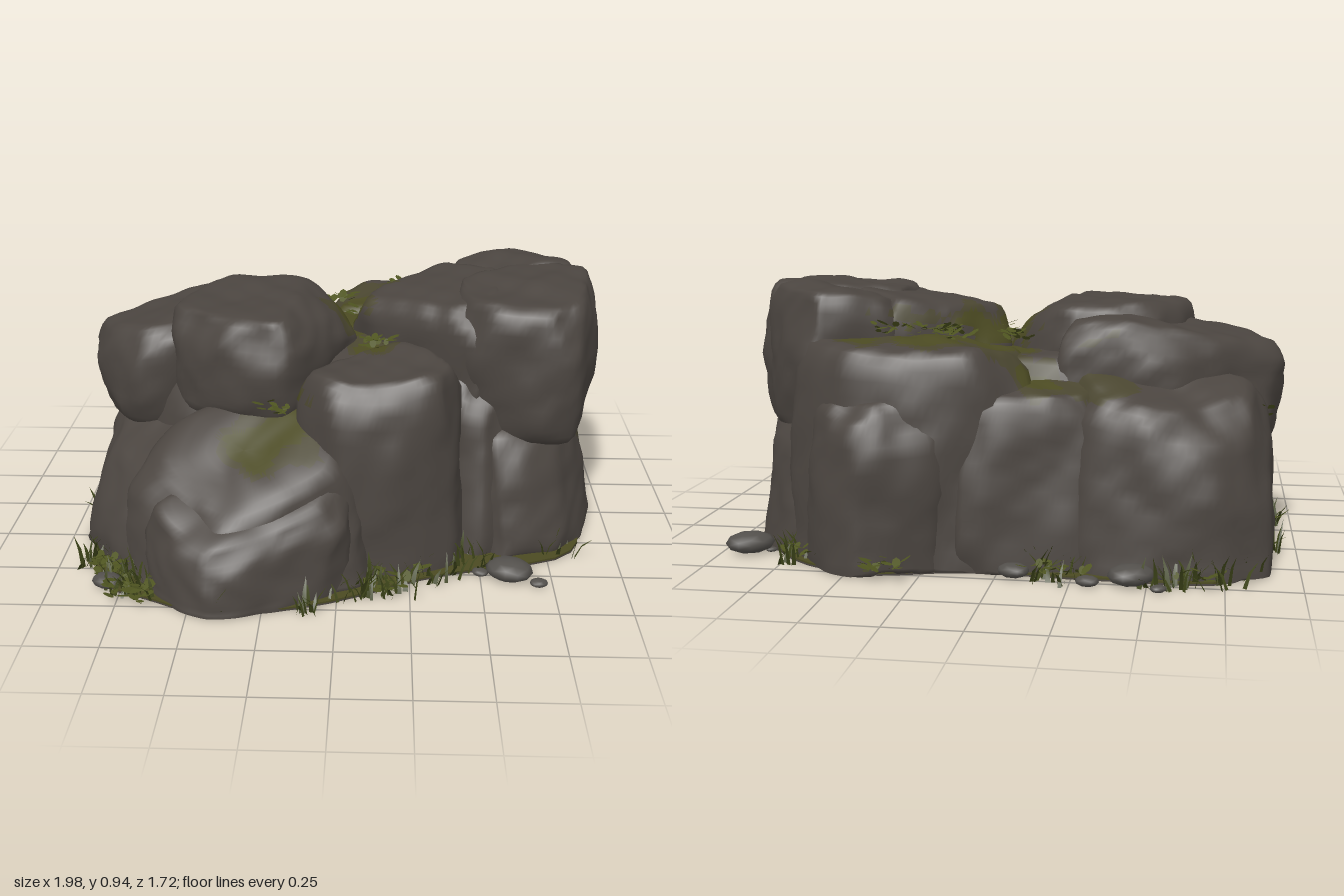
import * as THREE from 'three';
import { mergeGeometries } from 'three/addons/utils/BufferGeometryUtils.js';

const mat = (name, color, side = THREE.FrontSide) => {
  const m = new THREE.MeshStandardMaterial({ color, side });
  m.name = name;
  return m;
};

let seed = 7;
const rand = (a = 0, b = 1) => {
  seed = (seed * 16807) % 2147483647;
  return a + (b - a) * (seed / 2147483647);
};

// Side profiles as [scale, height]: rocks that stand on the ground, and boulders that overhang
const STANDING = [[0, 0], [0.96, 0], [1, 0.06], [0.99, 0.35], [0.97, 0.65], [0.93, 0.85], [0.85, 0.96], [0.65, 1], [0, 1]];
const BOULDER = [[0, 0], [0.7, 0.01], [0.9, 0.08], [0.98, 0.24], [1, 0.5], [0.99, 0.75], [0.95, 0.9], [0.86, 0.98], [0.65, 1], [0, 1]];
const WEDGE = [[0, 0], [0.97, 0], [1, 0.1], [0.96, 0.4], [0.9, 0.65], [0.8, 0.87], [0.6, 0.98], [0, 1]];

// Moss grows where rock surface lies inside these spheres: x, y, z, radius
const MOSS = [
  [-0.28, 0.46, 0.44, 0.1], [-0.16, 0.53, 0.37, 0.1], [0.1, 0.72, -0.3, 0.15], [0.28, 0.74, -0.47, 0.12],
  [0.02, 0.72, -0.12, 0.1], [0.48, 0.75, -0.52, 0.07], [0.86, 0.42, -0.02, 0.06],
  [0.84, 0.42, -0.22, 0.06], [0.12, 0.7, 0.08, 0.06], [-0.12, 0.62, -0.52, 0.06],
];
// Thin moss also spreads here
const THIN = [[-0.32, 0.66, -0.5, 0.13], [0.05, 0.72, -0.45, 0.14], [-0.22, 0.5, 0.42, 0.17], [0.86, 0.42, -0.1, 0.14]];

const ripple = (x, y, z, s) =>
  Math.sin(9 * x + s + 2 * Math.sin(6 * z + s)) * Math.sin(8 * y + 2 * s + Math.sin(7 * x)) +
  0.5 * Math.sin(19 * z + s + 2 * Math.sin(13 * y)) * Math.sin(17 * x + 3 * s + Math.sin(15 * y)) +
  0.3 * Math.sin(37 * x + 2 * Math.sin(23 * y + s)) * Math.sin(33 * z + 29 * y + s);

// Lofted rock: plan outline, bottom, top, top slope in x and z, highest level, lean at the top
function rock(mats, name, outline, y0, y1, { profile = STANDING, slope = [0, 0], cap = 1, lean = [0, 0] } = {}) {
  const N = 80, M = 38;
  const flat = outline.map(([x, z]) => new THREE.Vector2(x, z));
  if (THREE.ShapeUtils.area(flat) < 0) flat.reverse();
  const ring = new THREE.CatmullRomCurve3(flat.map(p => new THREE.Vector3(p.x, 0, p.y)), true, 'catmullrom', 0.3).getSpacedPoints(N).slice(0, N);
  const mid = ring.reduce((s, p) => s.add(p), new THREE.Vector3()).divideScalar(N);
  const rows = new THREE.SplineCurve(profile.map(p => new THREE.Vector2(...p))).getSpacedPoints(M);
  const pts = [];
  for (const row of rows) for (const p of ring) {
    const s = Math.max(0, row.x), t = THREE.MathUtils.clamp(row.y, 0, 1);
    const dx = (p.x - mid.x) * s, dz = (p.z - mid.z) * s;
    const top = Math.min(cap, y1 + slope[0] * dx + slope[1] * dz);
    pts.push(new THREE.Vector3(mid.x + dx + lean[0] * t, y0 + (top - y0) * t, mid.z + dz + lean[1] * t));
  }
  // Chisel flat facets
  const c = new THREE.Vector3(mid.x + lean[0] / 2, (y0 + y1) / 2, mid.z + lean[1] / 2);
  for (let k = 0; k < 20; k++) {
    const a = rand(0, 6.283), d = new THREE.Vector3(Math.cos(a), rand(-0.25, 0.9), Math.sin(a)).normalize();
    const far = Math.max(...pts.map(p => p.clone().sub(c).dot(d))) * rand(0.92, 0.98);
    for (const p of pts) {
      const over = p.clone().sub(c).dot(d) - far;
      if (over > 0) p.addScaledVector(d, -over * 0.92);
    }
  }
  // Weathered surface
  const ph = rand(0, 6);
  for (const p of pts) {
    const n = ripple(p.x, p.y, p.z, ph) * 0.013, dir = p.clone().sub(c).normalize();
    p.addScaledVector(dir, n);
    p.y = Math.max(0.004, y0 === 0 && p.y < 0.012 ? 0 : p.y);
  }
  // Sort faces into bare stone, moss and thin moss
  const faces = [[], [], []];
  const face = (a, b, d) => {
    const m = pts[a].clone().add(pts[b]).add(pts[d]).divideScalar(3);
    const up = pts[b].clone().sub(pts[a]).cross(pts[d].clone().sub(pts[a])).normalize().y;
    const wob = 0.03 * Math.sin(31 * m.x + 9 * m.y) * Math.sin(27 * m.z);
    const near = (list, grow) => up > 0.25 && list.some(([x, y, z, r]) => Math.hypot(m.x - x, m.y - y, m.z - z) < r + wob + grow);
    faces[near(MOSS, 0) ? 1 : near(MOSS, 0.035) || near(THIN, 0) ? 2 : 0].push(a, b, d);
  };
  for (let j = 0; j < M; j++) for (let i = 0; i < N; i++) {
    const a = j * N + i, b = j * N + (i + 1) % N;
    if (j > 0) face(a, a + N, b);
    face(b, a + N, b + N);
  }
  const g = new THREE.BufferGeometry().setFromPoints(pts);
  g.setIndex(faces.flat());
  let start = 0;
  faces.forEach((list, i) => {
    g.addGroup(start, list.length, i);
    start += list.length;
  });
  g.computeVertexNormals();
  const mesh = new THREE.Mesh(g, mats);
  mesh.name = name;
  return mesh;
}

// One bent blade: a narrow strip ending in a point
function blade(x, y, z, h, w, lean) {
  const a = rand(0, 6.283), cx = Math.cos(a), cz = Math.sin(a);
  const at = (t, side) => [x + cx * lean * t * t - cz * w * side, y + h * t, z + cz * lean * t * t + cx * w * side];
  const g = new THREE.BufferGeometry();
  g.setAttribute('position', new THREE.Float32BufferAttribute([...at(0, -1), ...at(0, 1), ...at(0.6, -0.7), ...at(0.6, 0.7), ...at(1, 0)], 3));
  g.setIndex([0, 1, 2, 1, 3, 2, 2, 3, 4]);
  g.computeVertexNormals();
  return g;
}

// One broad leaf: a tilted oval disc
function leaf(x, y, z, size) {
  const g = new THREE.CircleGeometry(size, 7);
  g.scale(1, 0.6, 1).translate(size, 0, 0).rotateX(-Math.PI / 2).rotateZ(rand(0.1, 0.6)).rotateY(rand(0, 6.283));
  return g.translate(x, y, z);
}

export function createModel() {
  const model = new THREE.Group();
  const stone = mat('dark stone', 0x4b4540), pebbleStone = mat('pebble stone', 0x53504c);
  const moss = mat('moss', 0x4b4a22), thinMoss = mat('thin moss', 0x4a4630);
  const grassMat = mat('grass', 0x3d4419, THREE.DoubleSide), leafMat = mat('leaves', 0x4e5420, THREE.DoubleSide);
  const add = (...args) => model.add(rock([stone, moss, thinMoss], ...args));

  // Ground plates
  const edge = [[-0.91, 0.1], [-0.9, 0.38], [-0.8, 0.62], [-0.66, 0.7], [-0.4, 0.8], [-0.05, 0.72], [0.35, 0.52], [0.8, 0.37], [0.9, 0.1], [0.9, -0.25],
    [0.76, -0.6], [0.45, -0.77], [0.1, -0.7], [-0.35, -0.72], [-0.75, -0.7], [-0.88, -0.4]];
  const shape = new THREE.Shape().setFromPoints(new THREE.SplineCurve([...edge, edge[0]].map(([x, z]) => new THREE.Vector2(x, -z))).getPoints(60));
  [['groundBase', stone, 0], ['groundMoss', moss, 0.006]].forEach(([name, m, y]) => {
    const g = new THREE.ExtrudeGeometry(shape, { depth: 0.006, bevelEnabled: false }).rotateX(-Math.PI / 2).translate(0, y, 0);
    const plate = new THREE.Mesh(g, m);
    plate.name = name;
    model.add(plate);
  });

  // Core and lower tier
  add('coreRock', [[-0.7, -0.4], [0, -0.55], [0.6, -0.5], [0.75, 0.1], [0.2, 0.3], [-0.4, 0.3], [-0.75, 0.1]], 0, 0.69, { slope: [0.03, -0.05] });
  add('leftBaseRock', [[-0.92, 0], [-0.925, 0.28], [-0.82, 0.48], [-0.55, 0.6], [-0.35, 0.4], [-0.4, -0.2], [-0.6, -0.45], [-0.9, -0.35]], 0, 0.45,
    { profile: WEDGE, slope: [0.25, -0.3] });
  add('frontSlab', [[-0.78, 0.45], [-0.64, 0.64], [-0.42, 0.77], [-0.22, 0.73], [0.08, 0.6], [0.1, 0.35], [-0.2, 0.15], [-0.65, 0.2]], 0, 0.46,
    { profile: WEDGE, slope: [0.15, -0.6] });
  add('frontFootRock', [[-0.66, 0.58], [-0.6, 0.71], [-0.42, 0.82], [-0.2, 0.77], [0.05, 0.66], [0.04, 0.5], [-0.4, 0.42]], 0, 0.33, { slope: [0.08, -0.6], lean: [-0.02, -0.02] });
  add('frontColumn', [[-0.17, 0.36], [0, 0.53], [0.22, 0.53], [0.41, 0.44], [0.45, 0.22], [0.28, 0.02], [0.05, 0.08]], 0, 0.715, { slope: [0.03, 0], lean: [-0.01, -0.01] });
  add('rightInnerColumn', [[0.36, 0], [0.4, 0.32], [0.52, 0.37], [0.64, 0.26], [0.64, 0]], 0, 0.62, { lean: [0, -0.08] });
  add('rightFrontColumn', [[0.5, 0.05], [0.55, 0.38], [0.68, 0.39], [0.83, 0.32], [0.93, 0.12], [0.94, -0.27], [0.6, -0.3]], 0, 0.46, { lean: [-0.06, -0.1] });
  add('rightBackColumn', [[0.5, -0.2], [0.92, -0.22], [0.9, -0.42], [0.76, -0.57], [0.5, -0.6]], 0, 0.48, { lean: [-0.03, 0.02] });

  // Back tier
  add('backRightRock', [[-0.1, -0.3], [-0.14, -0.58], [0.05, -0.69], [0.3, -0.73], [0.55, -0.71], [0.75, -0.55], [0.74, -0.25], [0.3, -0.2]], 0, 0.75, { slope: [0.07, 0.02] });
  add('backShoulderRock', [[0.14, -0.55], [0.2, -0.72], [0.44, -0.81], [0.57, -0.75], [0.68, -0.6], [0.5, -0.45]], 0, 0.6, { slope: [0, 0.3] });
  add('backMiddleRock', [[-0.36, -0.4], [-0.34, -0.63], [-0.15, -0.69], [0.12, -0.72], [0.15, -0.45]], 0, 0.62, { slope: [0.1, 0.25], lean: [0, 0.04] });
  add('backLeftRock', [[-0.9, -0.3], [-0.9, -0.57], [-0.75, -0.69], [-0.5, -0.72], [-0.26, -0.65], [-0.15, -0.4], [-0.5, -0.22]], 0, 0.62,
    { slope: [0.12, 0.35], lean: [0.01, 0.03] });

  // Upper boulders
  const upper = { profile: BOULDER };
  add('leftBoulder', [[-0.95, -0.14], [-0.89, 0.04], [-0.74, 0.14], [-0.5, 0.1], [-0.25, -0.15], [-0.14, -0.44], [-0.55, -0.44], [-0.88, -0.26]], 0.36, 0.8,
    { ...upper, slope: [0.2, 0.02], cap: 0.825 });
  add('middleBoulder', [[-0.64, 0.08], [-0.57, 0.23], [-0.4, 0.3], [-0.19, 0.36], [-0.06, 0.22], [0.07, -0.04], [-0.04, -0.24], [-0.22, -0.34], [-0.46, -0.3], [-0.6, -0.14]],
    0.47, 0.93, { ...upper, slope: [-0.5, -0.05], cap: 0.868 });
  add('rightBoulderFront', [[0.36, -0.15], [0.42, 0.18], [0.6, 0.28], [0.82, 0.31], [0.9, 0.12], [0.945, -0.05], [0.93, -0.28], [0.6, -0.32]], 0.39, 0.92, { ...upper, slope: [0.05, 0], cap: 0.935 });
  add('rightBoulderBack', [[0.3, -0.3], [0.42, -0.46], [0.66, -0.56], [0.81, -0.44], [0.92, -0.26], [0.7, -0.18], [0.4, -0.15]], 0.39, 0.91, { ...upper, slope: [0.14, 0], cap: 0.925 });
  add('rightBoulderInner', [[0.04, -0.17], [0.2, -0.36], [0.42, -0.46], [0.6, -0.3], [0.6, 0.05], [0.48, 0.23], [0.22, 0.06], [0.07, -0.04]], 0.36, 0.88,
    { ...upper, slope: [0.14, 0], cap: 0.915 });

  // Pebbles: x, z, radius
  [[0.9, -0.57, 0.085], [0.6, 0.52, 0.085], [0.7, 0.57, 0.032], [0.5, 0.5, 0.03], [-0.8, 0.62, 0.055], [-0.45, -0.75, 0.08], [-0.31, -0.78, 0.04],
    [-0.54, -0.81, 0.028], [-0.06, -0.72, 0.055], [0.83, -0.55, 0.02]].forEach(([x, z, r]) => {
    const g = new THREE.IcosahedronGeometry(r, 1);
    g.scale(1, 0.45, 0.8).rotateY(0.4 * Math.sin(9 * x)).translate(x, r * 0.45, z);
    const p = new THREE.Mesh(g, pebbleStone);
    p.name = 'pebble';
    model.add(p);
  });

  // Grass tufts: x, z, spread, blades
  const blades = [], leaves = [];
  [[-0.72, -0.68, 0.1, 40], [-0.55, -0.72, 0.08, 30], [-0.2, -0.72, 0.09, 36], [0.7, -0.64, 0.07, 26], [-0.9, -0.3, 0.04, 18], [-0.92, 0.05, 0.03, 12],
    [-0.86, 0.45, 0.07, 30], [-0.75, 0.62, 0.08, 40], [-0.68, 0.68, 0.06, 24], [0.18, 0.6, 0.09, 38], [0.04, 0.66, 0.07, 24], [-0.1, 0.76, 0.04, 14],
    [0.34, 0.51, 0.09, 32], [0.48, 0.43, 0.06, 16], [0.8, 0.32, 0.06, 14], [-0.4, 0.8, 0.02, 6], [-0.84, -0.57, 0.06, 22]].forEach(([x, z, r, n]) => {
    for (let i = 0; i < n; i++)
      blades.push(blade(x + rand(-r, r), 0, z + rand(-r, r), rand(0.04, 0.12), rand(0.005, 0.01), rand(0.02, 0.07)));
  });
  // Leafy plants: x, y, z, spread, leaves
  [[0.27, 0.78, -0.43, 0.08, 46], [0.2, 0.77, -0.4, 0.05, 20], [0.4, 0.79, -0.5, 0.05, 14], [0.12, 0.73, 0.09, 0.045, 22], [-0.02, 0.76, -0.34, 0.04, 14],
    [0.05, 0.76, -0.14, 0.03, 10], [-0.22, 0.57, 0.37, 0.05, 16], [-0.84, 0.5, -0.3, 0.06, 20], [0.36, 0.05, -0.81, 0.05, 22], [-0.69, 0.04, 0.69, 0.08, 40],
    [-0.82, 0.04, 0.53, 0.07, 32], [-0.2, 0.04, -0.72, 0.1, 34], [-0.65, 0.04, -0.7, 0.1, 34], [0.2, 0.03, 0.59, 0.09, 22], [0.68, 0.04, -0.64, 0.07, 20],
    [-0.91, 0.04, 0.04, 0.03, 12]]
    .forEach(([x, y, z, r, n]) => {
      for (let i = 0; i < n; i++) leaves.push(leaf(x + rand(-r, r), y + rand(-0.02, 0.02), z + rand(-r, r) * 0.8, rand(0.014, 0.026)));
    });
  [['grassTufts', blades, grassMat], ['leafyPlants', leaves, leafMat]].forEach(([name, parts, m]) => {
    const mesh = new THREE.Mesh(mergeGeometries(parts), m);
    mesh.name = name;
    model.add(mesh);
  });
  return model;
}
